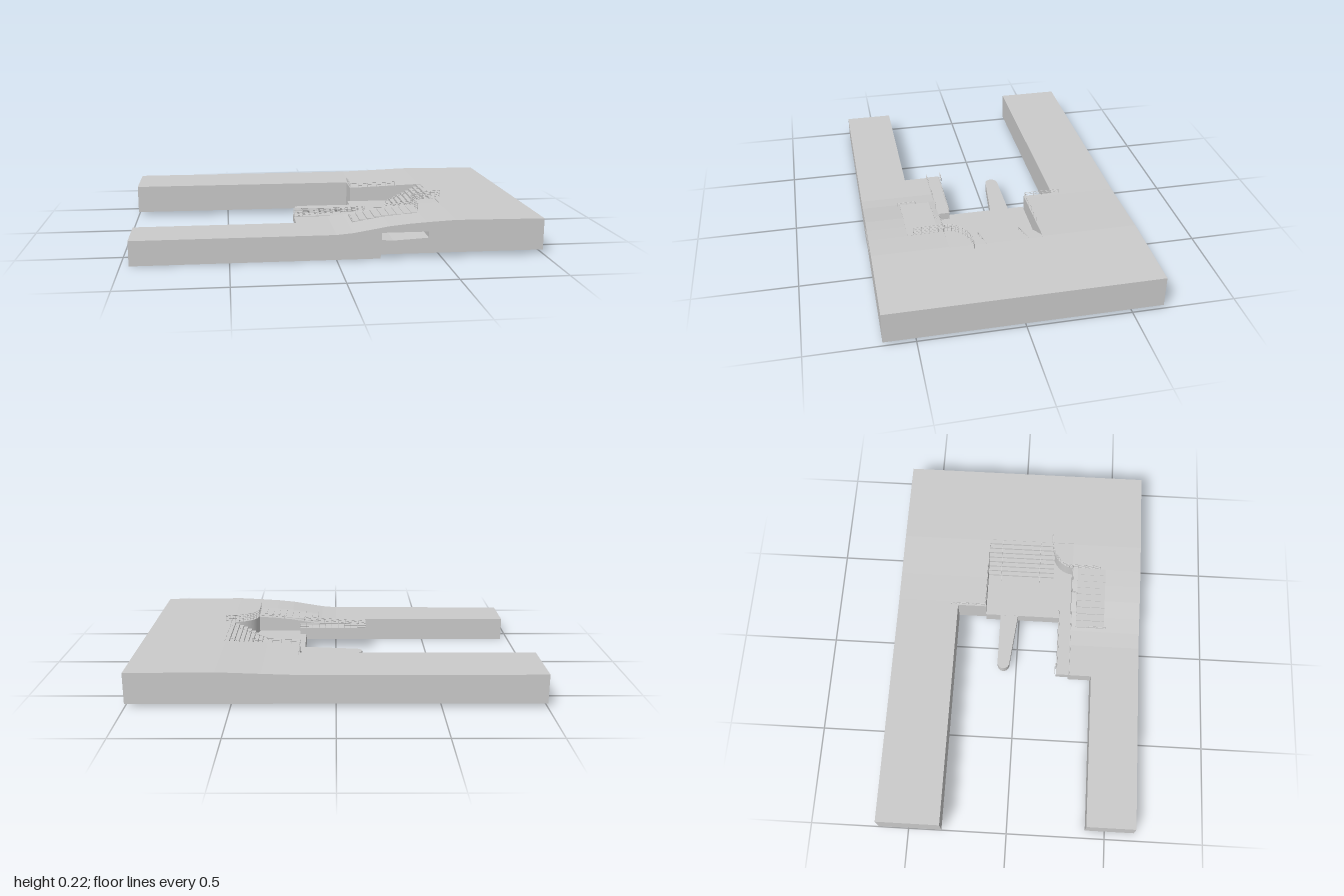
import * as THREE from 'three';

const mat = new THREE.MeshStandardMaterial({ color: 0xcccccc, flatShading: true, side: THREE.DoubleSide });

// Ground heights along x: upper land, and the front bank that dips to the water
const upper = [[-1, 0.165], [0.2, 0.165], [0.35, 0.17], [0.57, 0.178], [1, 0.174]];
const bank = [[-0.96, 0.12], [0, 0.121], [0.08, 0.128], [0.16, 0.141], [0.25, 0.156], [0.34, 0.165], [0.43, 0.171], [0.57, 0.178], [1, 0.174]];

function heightAt(profile, x) {
  for (let i = 1; i < profile.length; i++) {
    const [x0, y0] = profile[i - 1], [x1, y1] = profile[i];
    if (x <= x1) return y0 + (y1 - y0) * (x - x0) / (x1 - x0);
  }
  return profile[profile.length - 1][1];
}

// The part of a profile between two x positions
function clip(profile, x0, x1) {
  const inner = profile.filter(([x]) => x > x0 && x < x1);
  return [[x0, heightAt(profile, x0)], ...inner, [x1, heightAt(profile, x1)]];
}

export function createModel() {
  const root = new THREE.Group();
  root.name = 'riversideTerrace';

  function add(name, geometry, parent = root) {
    const mesh = new THREE.Mesh(geometry, mat);
    mesh.name = name;
    parent.add(mesh);
    return mesh;
  }

  function box(name, x0, x1, y0, y1, z0, z1, parent) {
    const mesh = add(name, new THREE.BoxGeometry(x1 - x0, y1 - y0, z1 - z0), parent);
    mesh.position.set((x0 + x1) / 2, (y0 + y1) / 2, (z0 + z1) / 2);
    return mesh;
  }

  // Side outline (top profile plus underside, right to left) pulled along z
  function slab(name, profile, x0, x1, under, z0, z1, hole) {
    const pts = [...clip(profile, x0, x1), ...under].map(p => new THREE.Vector2(...p));
    const shape = new THREE.Shape(pts);
    if (hole) shape.holes.push(new THREE.Path(hole.map(p => new THREE.Vector2(...p))));
    const mesh = add(name, new THREE.ExtrudeGeometry(shape, { depth: z1 - z0, bevelEnabled: false }));
    mesh.position.z = z0;
  }

  // Plan outline in (x, z) raised from y0 to y1
  function plan(name, shape, y0, y1) {
    const geo = new THREE.ExtrudeGeometry(shape, { depth: y1 - y0, bevelEnabled: false, curveSegments: 12 });
    geo.rotateX(Math.PI / 2);
    add(name, geo).position.y = y1;
  }

  function bar(parent, name, a, b, r = 0.0014) {
    const dir = b.clone().sub(a);
    const mesh = add(name, new THREE.CylinderGeometry(r, r, dir.length(), 6), parent);
    mesh.position.copy(a).addScaledVector(dir, 0.5);
    mesh.quaternion.setFromUnitVectors(new THREE.Vector3(0, 1, 0), dir.normalize());
  }

  // Railing along foot points, with a post at each and bars at the given heights
  function railing(name, feet, heights) {
    const group = new THREE.Group();
    group.name = name;
    const pts = feet.map(p => new THREE.Vector3(...p));
    const lift = (p, h) => p.clone().setY(p.y + h);
    const top = Math.max(...heights);
    pts.forEach((p, i) => {
      bar(group, 'post', p, lift(p, top));
      if (i > 0) heights.forEach(h => bar(group, 'rail', lift(pts[i - 1], h), lift(p, h)));
    });
    root.add(group);
  }

  // Evenly spaced feet between two ends
  const run = (a, b, n) => Array.from({ length: n + 1 }, (_, i) => a.map((v, k) => v + (b[k] - v) * i / n));

  // Upper land around the court
  slab('backQuay', upper, -1, 1, [[1, 0.02], [-1, 0.02]], -0.65, -0.33);
  slab('backShelf', upper, 0.18, 1, [[1, 0.02], [0.18, 0.02]], -0.33, -0.18);
  slab('sideLand', upper, 0.575, 1, [[1, 0.02], [0.575, 0.02]], -0.18, 0.28);

  // Front bank, with a recess in its outer face
  slab('frontQuay', bank, -0.96, 1, [[1, 0.02], [0.21, 0.02], [0.21, 0], [-0.96, 0]], 0.4, 0.65,
    [[0.215, 0.09], [0.27, 0.086], [0.44, 0.095], [0.44, 0.125], [0.215, 0.125]]);
  slab('frontTerrace', bank, -0.17, 1, [[1, 0.02], [0.17, 0.02], [0.17, 0.05], [-0.17, 0.05]], 0.28, 0.4);
  box('terraceWalk', -0.17, 0.2, 0.085, 0.124, 0.215, 0.28);
  box('retainingWall', 0.18, 0.29, 0.08, 0.145, 0.28, 0.31);

  // Rounded corner between bank and stairs
  const corner = new THREE.Shape();
  corner.moveTo(0.58, 0.28);
  corner.lineTo(0.43, 0.28);
  corner.absellipse(0.58, 0.28, 0.15, 0.115, Math.PI, Math.PI * 1.5, false);
  corner.lineTo(0.58, 0.28);
  plan('roundedCorner', corner, 0.02, 0.174);

  // Sunken court and its rounded jetty
  box('court', 0.165, 0.58, 0.02, 0.088, -0.18, 0.28);
  const jetty = new THREE.Shape();
  jetty.moveTo(0.17, -0.1);
  jetty.lineTo(-0.11, -0.1);
  jetty.absellipse(-0.105, -0.068, 0.035, 0.032, Math.PI * 1.5, Math.PI / 2, true);
  jetty.lineTo(0.17, -0.005);
  plan('jetty', jetty, 0.04, 0.087);

  // Wide stairs from the court up to the land
  const stairs = new THREE.Group();
  stairs.name = 'courtStairs';
  root.add(stairs);
  const steps = 8;
  for (let i = 0; i < steps; i++) {
    const x = 0.4 + 0.175 * i / steps;
    box('step', x, 0.58, 0.08, 0.088 + 0.088 * (i + 1) / steps, -0.18, 0.18, stairs);
  }

  // Shallow steps set into the bank
  const bankSteps = new THREE.Group();
  bankSteps.name = 'bankSteps';
  root.add(bankSteps);
  for (let i = 0; i < 9; i++) {
    const x0 = 0.1 + 0.33 * i / 9, x1 = 0.1 + 0.33 * (i + 1) / 9;
    box('step', x0, x1, 0.1, heightAt(bank, x1) + 0.001, 0.31, 0.46, bankSteps);
  }

  // Curved railing round the corner
  const arc = Array.from({ length: 11 }, (_, i) => {
    const a = Math.PI / 2 * i / 10;
    return [0.58 - 0.15 * Math.cos(a), 0.174, 0.28 - 0.115 * Math.sin(a)];
  });
  railing('cornerRailing', [...run([0.43, 0.172, 0.43], [0.43, 0.174, 0.31], 3), ...arc, [0.605, 0.177, 0.163]],
    [0.01, 0.02, 0.03, 0.04]);

  // Railings of the shelf, walkway and steps
  const low = [0.008, 0.016, 0.024];
  railing('shelfRailing', [...run([0.185, 0.165, -0.365], [0.185, 0.165, -0.185], 4), ...run([0.23, 0.166, -0.183], [0.43, 0.172, -0.183], 4)], [0.012, 0.022]);
  railing('walkOuterRailing', [[-0.168, 0.124, 0.208], [-0.12, 0.124, 0.208], ...run([-0.12, 0.124, 0.219], [0.2, 0.126, 0.219], 9)], low);
  railing('walkInnerRailing', run([-0.168, 0.121, 0.283], [0.18, 0.145, 0.283], 9), low);
  railing('wallRailing', [[0.18, 0.145, 0.308], [0.29, 0.145, 0.308], [0.29, 0.16, 0.283], [0.36, 0.166, 0.283], [0.43, 0.171, 0.283]], [0.01, 0.02]);
  railing('bankHandrail', run([0.1, 0.13, 0.38], [0.1, 0.13, 0.47], 2), [0.02]);
  for (const z of [-0.11, 0.1]) railing('stairHandrail', run([0.37, 0.088, z], [0.575, 0.165, z], 4), [0.015]);

  return root;
}
